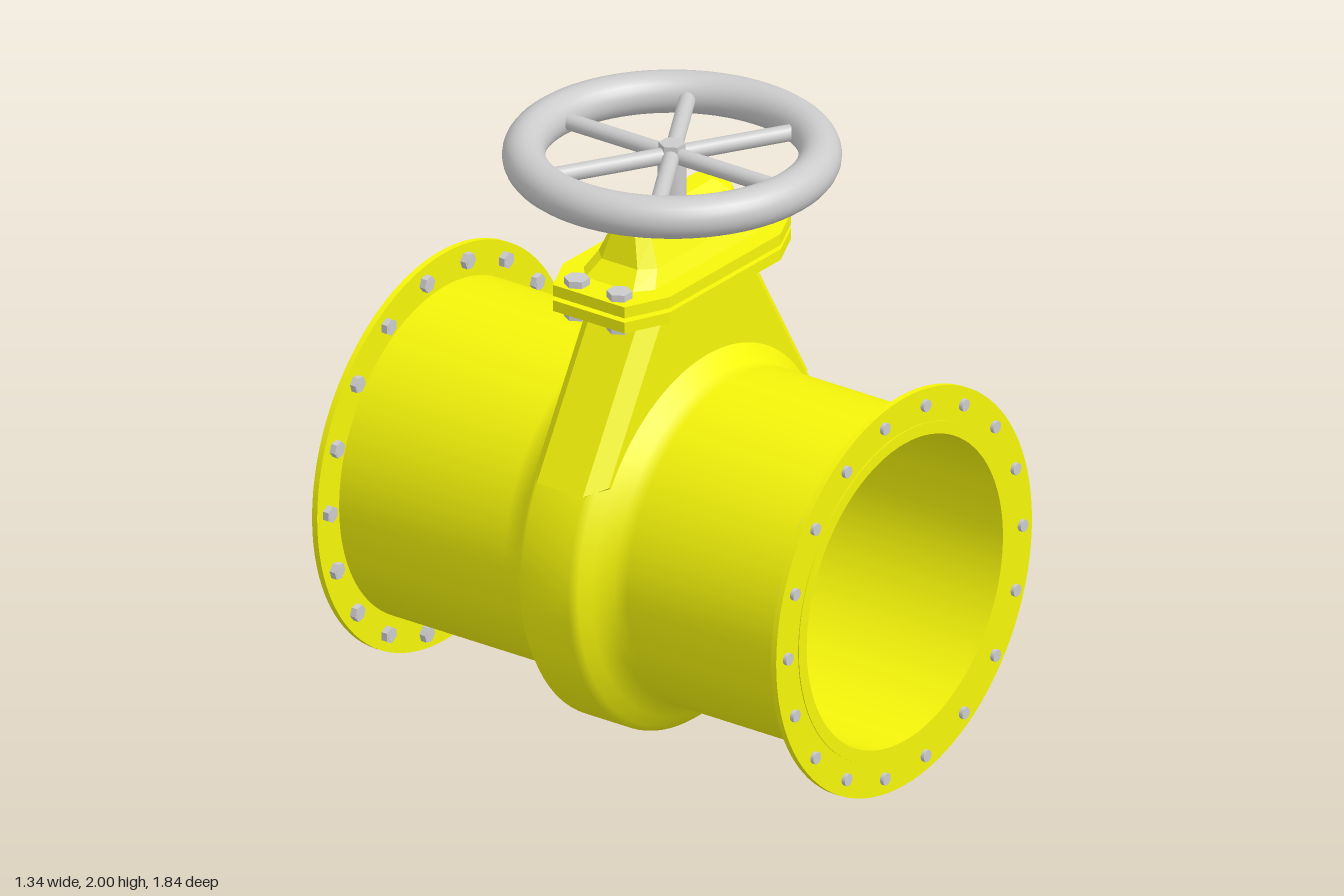
import * as THREE from 'three';
import { mergeGeometries } from 'three/addons/utils/BufferGeometryUtils.js';

const AXIS_Y = 0.672; // height of the pipe axis
const yellow = new THREE.MeshStandardMaterial({ color: 0xf5f50a });
const yellowFlat = new THREE.MeshStandardMaterial({ color: 0xf5f50a, flatShading: true });
const grey = new THREE.MeshStandardMaterial({ color: 0xcccccc });
const greyFlat = new THREE.MeshStandardMaterial({ color: 0xcccccc, flatShading: true });

function add(parent, name, geometry, material) {
  const mesh = new THREE.Mesh(geometry, material);
  mesh.name = name;
  parent.add(mesh);
  return mesh;
}

// Revolves runs of [radius, z] about the z axis; each run is smooth, joints between runs are sharp
function revolve(runs) {
  const parts = runs.map((run) =>
    new THREE.LatheGeometry(run.map(([r, z]) => new THREE.Vector2(r, z)), 96));
  return mergeGeometries(parts).rotateX(Math.PI / 2);
}

// Stacks octagonal sections { y, hx, hz, ix, iz }: half sizes, and where the corner cuts begin
function octagonLoft(sections) {
  const rings = sections.map(({ y, hx, hz, ix, iz }) => [
    [hx, iz], [hx, -iz], [ix, -hz], [-ix, -hz], [-hx, -iz], [-hx, iz], [-ix, hz], [ix, hz],
  ].map(([x, z]) => [x, y, z]));
  const pos = [];
  const tri = (a, b, c) => pos.push(...a, ...b, ...c);
  for (let s = 0; s < rings.length - 1; s++) {
    const a = rings[s], b = rings[s + 1];
    for (let i = 0; i < 8; i++) {
      const j = (i + 1) % 8;
      tri(a[i], a[j], b[j]);
      tri(a[i], b[j], b[i]);
    }
  }
  const bottom = rings[0], top = rings[rings.length - 1];
  for (let i = 1; i < 7; i++) {
    tri(top[0], top[i], top[i + 1]);
    tri(bottom[0], bottom[i + 1], bottom[i]);
  }
  const g = new THREE.BufferGeometry();
  g.setAttribute('position', new THREE.Float32BufferAttribute(pos, 3));
  g.computeVertexNormals();
  return g;
}

const slab = (y0, y1, size) => octagonLoft([{ y: y0, ...size }, { y: y1, ...size }]);

export function createModel() {
  const model = new THREE.Group();
  model.name = 'gateValve';

  // Hollow pipe with the swollen gate housing in the middle
  const half = [[0.555, 0.91], [0.555, 0.24], [0.555, 0.188], [0.607, 0.14], [0.645, 0.115], [0.665, 0.09]];
  const outer = [...half.map(([r, z]) => [r, -z]), ...half.slice().reverse()];
  add(model, 'pipeBody', revolve([
    outer,
    [[0.555, 0.91], [0.514, 0.91]],
    [[0.514, 0.91], [0.514, -0.91]],
    [[0.514, -0.91], [0.555, -0.91]],
  ]), yellow).position.y = AXIS_Y;

  // End flanges with their rings of bolts
  for (const side of [1, -1]) {
    const flange = new THREE.Group();
    flange.name = side > 0 ? 'frontFlange' : 'backFlange';
    flange.position.y = AXIS_Y;
    if (side < 0) flange.rotation.y = Math.PI;
    model.add(flange);
    add(flange, 'flangeRing', revolve([
      [[0.55, 0.887], [0.67, 0.887]],
      [[0.67, 0.887], [0.67, 0.907]],
      [[0.67, 0.907], [0.55, 0.907]],
    ]), yellow);
    for (let i = 0; i < 18; i++) {
      const a = (i * Math.PI) / 9;
      const bolt = new THREE.Group();
      bolt.name = 'flangeBolt';
      bolt.position.set(0.615 * Math.cos(a), 0.615 * Math.sin(a), 0);
      bolt.rotation.z = a;
      flange.add(bolt);
      add(bolt, 'boltShank', new THREE.CylinderGeometry(0.02, 0.02, 0.055, 16).rotateX(Math.PI / 2), grey)
        .position.z = 0.8925;
      add(bolt, 'boltNut', new THREE.CylinderGeometry(0.028, 0.028, 0.022, 6).rotateX(Math.PI / 2), greyFlat)
        .position.z = 0.877;
    }
  }

  // Tapered neck with chamfered edges, cut away round the bore
  const neck = new THREE.Shape();
  const cut = 0.54, cutAngle = 0.5;
  neck.moveTo(0.255, 1.56);
  neck.lineTo(-0.255, 1.56);
  neck.lineTo(-0.588, 0.99);
  neck.absarc(0, AXIS_Y, cut, Math.PI - cutAngle, cutAngle, true);
  neck.lineTo(0.588, 0.99);
  neck.closePath();
  const neckGeometry = new THREE.ExtrudeGeometry(neck, {
    depth: 0.18, bevelEnabled: true, bevelSegments: 1, bevelSize: 0.05,
    bevelThickness: 0.05, bevelOffset: -0.05, curveSegments: 32,
  }).translate(0, 0, -0.09);
  add(model, 'neck', neckGeometry, yellowFlat);

  // Bolted joint between neck and bonnet
  const plate = { hx: 0.437, hz: 0.208, ix: 0.29, iz: 0.14 };
  add(model, 'neckPlate', slab(1.515, 1.552, plate), yellowFlat);
  add(model, 'gasket', slab(1.55, 1.57, { hx: 0.29, hz: 0.14, ix: 0.24, iz: 0.09 }), yellowFlat);
  add(model, 'bonnetPlate', slab(1.567, 1.605, plate), yellowFlat);
  for (const x of [-0.387, 0.387]) {
    for (const z of [-0.083, 0.083]) {
      const bolt = new THREE.Group();
      bolt.name = 'bonnetBolt';
      bolt.position.set(x, 0, z);
      model.add(bolt);
      add(bolt, 'boltShank', new THREE.CylinderGeometry(0.026, 0.026, 0.12, 16), grey).position.y = 1.56;
      for (const y of [1.505, 1.616])
        add(bolt, 'boltHead', new THREE.CylinderGeometry(0.041, 0.041, 0.024, 6).rotateY(Math.PI / 6), greyFlat)
          .position.y = y;
    }
  }

  // Bonnet
  add(model, 'bonnet', octagonLoft([
    { y: 1.6, hx: 0.335, hz: 0.142, ix: 0.28, iz: 0.095 },
    { y: 1.655, hx: 0.275, hz: 0.115, ix: 0.23, iz: 0.07 },
    { y: 1.75, hx: 0.253, hz: 0.075, ix: 0.21, iz: 0.045 },
    { y: 1.795, hx: 0.195, hz: 0.035, ix: 0.17, iz: 0.02 },
  ]), yellowFlat);

  // Stem and handwheel
  add(model, 'stem', new THREE.CylinderGeometry(0.045, 0.045, 0.15, 24), grey).position.y = 1.86;
  const wheel = new THREE.Group();
  wheel.name = 'handwheel';
  wheel.position.y = 1.932;
  model.add(wheel);
  add(wheel, 'rim', new THREE.TorusGeometry(0.465, 0.068, 24, 80).rotateX(Math.PI / 2), grey);
  for (let i = 0; i < 6; i++) {
    const spoke = new THREE.CylinderGeometry(0.027, 0.027, 0.44, 16).translate(0, 0.22, 0).rotateX(Math.PI / 2);
    add(wheel, 'spoke', spoke, grey).rotation.y = (i * Math.PI) / 3;
  }
  add(wheel, 'hubNut', new THREE.CylinderGeometry(0.042, 0.042, 0.07, 6).rotateY(Math.PI / 6), greyFlat)
    .position.y = 0.005;

  return model;
}
